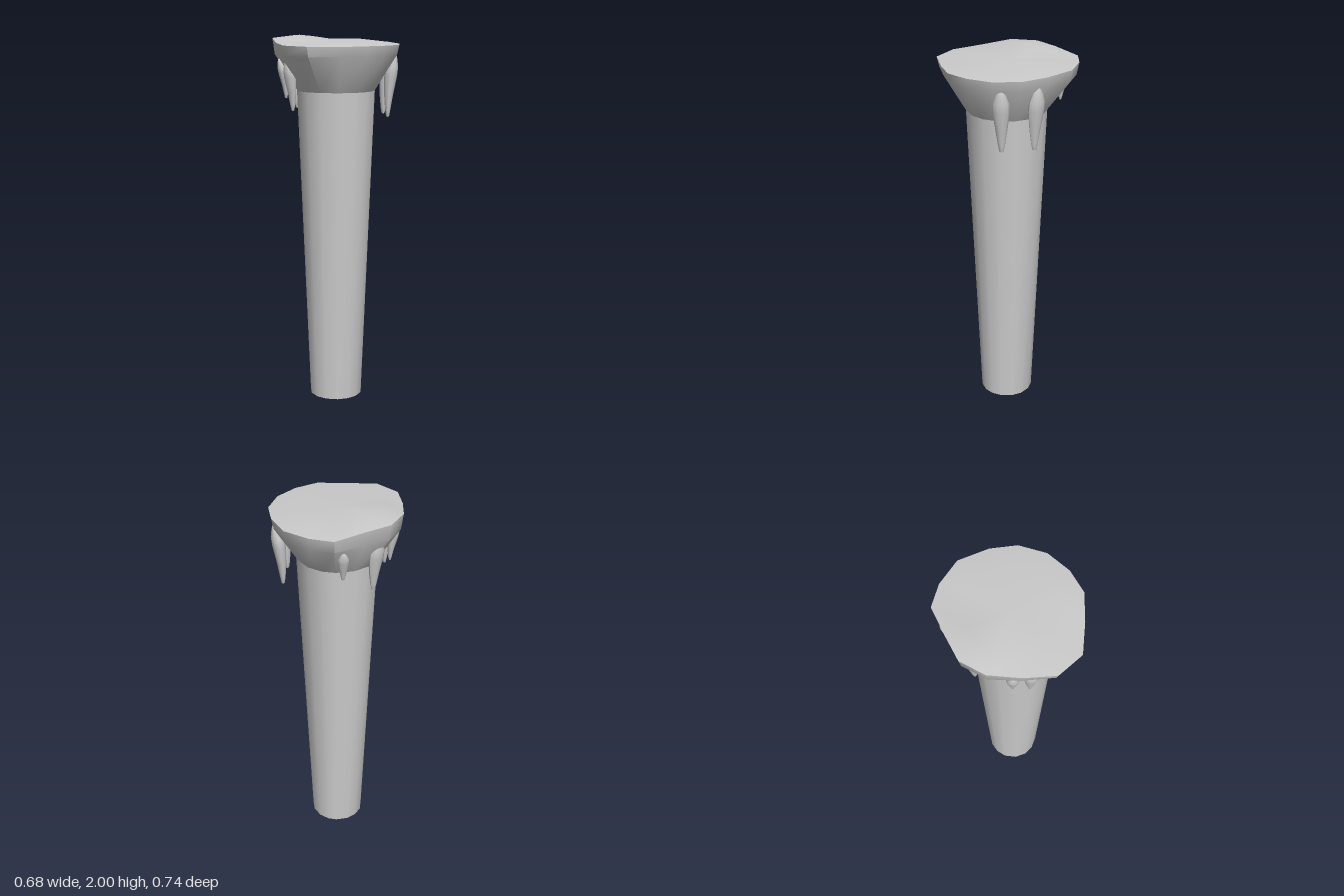
import * as THREE from 'three';
import { toCreasedNormals } from 'three/addons/utils/BufferGeometryUtils.js';

// Uneven rim outline: x, z, height
const RIM = [
  [-0.09, -0.37, 1.965], [0.035, -0.37, 1.965], [0.175, -0.325, 1.965], [0.28, -0.2, 1.96],
  [0.338, -0.075, 1.955], [0.338, 0.07, 1.953], [0.28, 0.195, 1.953], [0.19, 0.29, 1.953],
  [0.05, 0.332, 1.95], [-0.115, 0.365, 1.952], [-0.245, 0.285, 1.955], [-0.305, 0.135, 1.965],
  [-0.345, -0.025, 1.985], [-0.315, -0.165, 1.985], [-0.215, -0.26, 1.98],
];

// Skin closed rings of points, bottom to top, optionally closing on a centre point
function loft(rings, centre) {
  const n = rings[0].length;
  const pos = rings.flat(2);
  const index = [];
  for (let r = 0; r < rings.length - 1; r++) {
    for (let i = 0; i < n; i++) {
      const k = (i + 1) % n;
      const a = r * n + i, b = r * n + k, c = a + n, d = b + n;
      index.push(b, a, c, b, c, d);
    }
  }
  if (centre) {
    const top = (rings.length - 1) * n;
    pos.push(...centre);
    for (let i = 0; i < n; i++) index.push(top + ((i + 1) % n), top + i, rings.length * n);
  }
  const g = new THREE.BufferGeometry();
  g.setAttribute('position', new THREE.Float32BufferAttribute(pos, 3));
  g.setIndex(index);
  g.computeVertexNormals();
  return g;
}

// Circle whose points line up with the rim outline
const circle = (radius, y) => RIM.map(([x, z]) => {
  const a = Math.atan2(z, x);
  return [radius * Math.cos(a), y, radius * Math.sin(a)];
});

// Teardrop that leans outward towards its top
function dripGeometry(x, z, top, bottom, radius) {
  const profile = [[0, 0], [0.25, 0.015], [0.42, 0.12], [0.7, 0.35], [1, 0.64], [0.95, 0.78], [0.55, 0.92], [0.25, 0.99], [0, 1]]
    .map(([r, t]) => new THREE.Vector2(r * radius, t * (top - bottom)));
  const g = new THREE.LatheGeometry(profile, 10);
  const p = g.attributes.position;
  const len = Math.hypot(x, z), ux = x / len, uz = z / len;
  for (let i = 0; i < p.count; i++) {
    const t = p.getY(i) / (top - bottom);
    const lean = 0.035 * t * t;
    // slightly flattened against the column
    const radial = p.getX(i) * 0.8 + lean, side = p.getZ(i);
    p.setXYZ(i, x + ux * radial - uz * side, bottom + p.getY(i), z + uz * radial + ux * side);
  }
  g.computeVertexNormals();
  return g;
}

export function createModel() {
  const model = new THREE.Group();
  const material = new THREE.MeshStandardMaterial({ color: 0xcccccc, side: THREE.DoubleSide });
  const add = (name, geometry) => {
    const mesh = new THREE.Mesh(geometry, material);
    mesh.name = name;
    model.add(mesh);
  };

  // Tapered column, open underneath
  add('shaft', loft([circle(0.145, 0), circle(0.213, 1.71)]));

  // Flared head with a thin rim and a gently uneven top
  const lowerRim = RIM.map(([x, z]) => [x * 0.965, 1.9, z * 0.965]);
  const upperRim = RIM.map(([x, z, y]) => [x, y, z]);
  const innerTop = RIM.map(([x, z, y]) => [x * 0.66, y + (x < -0.25 && z < 0 ? 0.015 : 0.012), z * 0.66]);
  add('flaredHead', toCreasedNormals(
    loft([circle(0.213, 1.71), lowerRim, upperRim, innerTop], [0, 1.97, 0]), 0.7));

  // Hanging drips: x, z, top, bottom, radius
  [
    [0.28, 0.025, 1.91, 1.57, 0.043],
    [0.25, -0.14, 1.91, 1.57, 0.043],
    [-0.11, -0.285, 1.88, 1.72, 0.028],
    [-0.225, -0.13, 1.9, 1.6, 0.042],
    [-0.215, 0.15, 1.88, 1.61, 0.038],
    [-0.26, 0.075, 1.88, 1.67, 0.032],
  ].forEach((d, i) => add('drip' + (i + 1), dripGeometry(...d)));

  return model;
}
